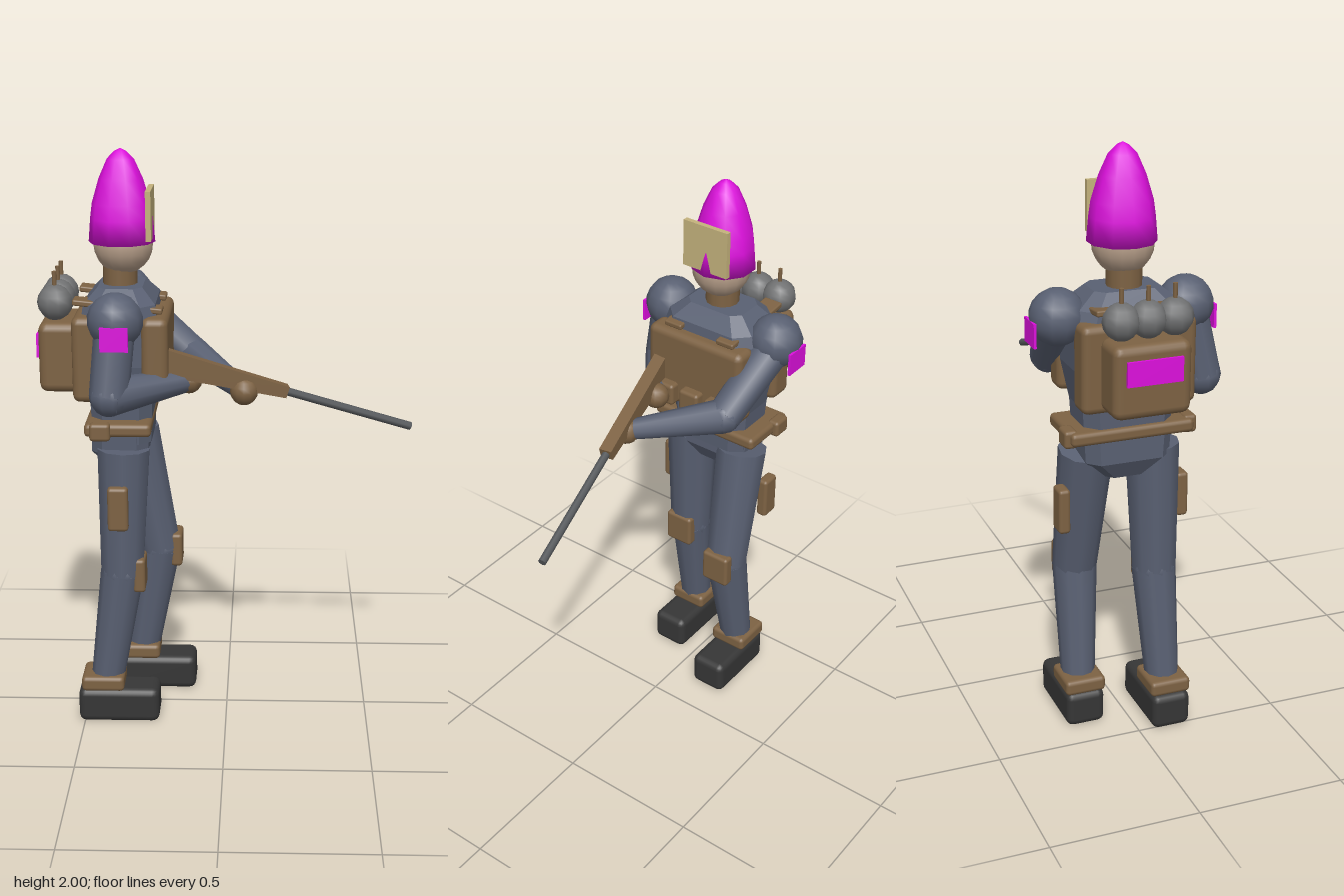
import * as THREE from 'three';
import { RoundedBoxGeometry } from 'three/addons/geometries/RoundedBoxGeometry.js';

const mat = (name, color) => {
  const m = new THREE.MeshStandardMaterial({ color });
  m.name = name;
  return m;
};
const V = (x, y, z) => new THREE.Vector3(x, y, z);

export function createModel() {
  const cloth = mat('blue grey cloth', 0x596072);
  const leather = mat('brown leather', 0x7d6243);
  const magenta = mat('magenta', 0xdd10dd);
  const skin = mat('skin', 0xb59d88);
  const tan = mat('tan visor', 0xc4b27c);
  const boot = mat('boot black', 0x363636);
  const steel = mat('steel', 0x707172);
  const gunmetal = mat('gunmetal', 0x55585b);

  const root = new THREE.Group();
  root.name = 'soldier';
  const MID = -0.02; // z of the body's middle plane

  const add = (name, geo, m, p = V(0, 0, 0)) => {
    const mesh = new THREE.Mesh(geo, m);
    mesh.name = name;
    mesh.position.copy(p);
    root.add(mesh);
    return mesh;
  };
  const box = (name, m, p, w, h, d, r = 0.015) =>
    add(name, r ? new RoundedBoxGeometry(w, h, d, 2, r) : new THREE.BoxGeometry(w, h, d), m, p);
  const ball = (name, m, p, r, sx = 12, sy = 8) => add(name, new THREE.SphereGeometry(r, sx, sy), m, p);
  // Tapered rod from a to b
  const rod = (name, m, a, b, ra, rb, sides = 10) => {
    const d = b.clone().sub(a);
    const mesh = add(name, new THREE.CylinderGeometry(rb, ra, d.length(), sides), m, a.clone().lerp(b, 0.5));
    mesh.quaternion.setFromUnitVectors(V(0, 1, 0), d.normalize());
    return mesh;
  };
  // Two-segment limb with a rounded joint
  const limb = (name, pts, radii) => {
    rod('upper' + name, cloth, pts[0], pts[1], radii[0], radii[1]);
    ball(name + 'Joint', cloth, pts[1], radii[1], 10, 8);
    rod('lower' + name, cloth, pts[1], pts[2], radii[1], radii[2]);
  };
  // Solid lofted from rectangles with cut corners: [y, half depth x, half width z]
  const loft = (name, m, x, rings) => {
    const pos = [], idx = [];
    rings.forEach(([y, a, b]) => {
      const c = Math.min(a, b) * 0.4;
      [[a, c - b], [a, b - c], [a - c, b], [c - a, b], [-a, b - c], [-a, c - b], [c - a, -b], [a - c, -b]]
        .forEach(([px, pz]) => pos.push(px, y, pz));
    });
    for (let r = 0; r < rings.length - 1; r++) for (let i = 0; i < 8; i++) {
      const p = r * 8 + i, q = r * 8 + (i + 1) % 8;
      idx.push(p, p + 8, q, q, p + 8, q + 8);
    }
    const t = (rings.length - 1) * 8;
    for (let i = 1; i < 7; i++) idx.push(0, i, i + 1, t, t + i + 1, t + i);
    const g = new THREE.BufferGeometry();
    g.setAttribute('position', new THREE.Float32BufferAttribute(pos, 3));
    g.setIndex(idx);
    const flat = g.toNonIndexed();
    flat.computeVertexNormals();
    return add(name, flat, m, V(x, 0, MID));
  };

  // Torso and hips
  loft('torso', cloth, -0.355, [[1.02, 0.1, 0.145], [1.17, 0.105, 0.155], [1.3, 0.13, 0.18],
    [1.46, 0.125, 0.185], [1.5, 0.12, 0.17], [1.55, 0.075, 0.11]]);
  loft('pelvis', cloth, -0.362, [[0.92, 0.06, 0.07], [0.985, 0.097, 0.145], [1.07, 0.097, 0.15]]);

  // Vest
  box('chestPlate', leather, V(-0.235, 1.327, MID + 0.005), 0.09, 0.28, 0.385, 0.025);
  box('backPlate', leather, V(-0.46, 1.325, MID + 0.005), 0.1, 0.29, 0.385, 0.025);
  for (const s of [-1, 1]) {
    const strap = box('shoulderStrap', leather, V(-0.36, 1.495, MID + s * 0.107), 0.3, 0.02, 0.07, 0.006);
    strap.rotation.z = -0.1;
  }
  for (const k of [-1, 0, 1])
    box('chestPouch', leather, V(-0.18, 1.235, MID + k * 0.105), 0.05, 0.08, 0.08, 0.012);

  // Belt
  box('belt', leather, V(-0.362, 1.087, MID), 0.225, 0.045, 0.42, 0.015);
  for (const s of [-1, 1]) box('beltPouch', leather, V(-0.42, 1.085, MID + s * 0.205), 0.07, 0.06, 0.045, 0.012);

  // Backpack with canisters
  box('backpack', leather, V(-0.56, 1.315, MID), 0.14, 0.24, 0.26, 0.03);
  box('backpackPanel', magenta, V(-0.635, 1.35, MID), 0.009, 0.08, 0.185, 0);
  for (const k of [-1, 0, 1]) {
    const p = V(-0.572, 1.5, MID + k * 0.088);
    ball('canister', steel, p, 0.06, 10, 8);
    rod('canisterRod', leather, p, V(p.x, 1.605, p.z), 0.008, 0.008, 6);
  }

  // Head, visor and helmet
  rod('neck', leather, V(-0.36, 1.5, -0.015), V(-0.36, 1.63, -0.015), 0.058, 0.058, 12);
  ball('head', skin, V(-0.348, 1.682, -0.015), 0.1, 16, 12);
  const dome = [[0, 1.69], [0.112, 1.69], [0.105, 1.77], [0.098, 1.82], [0.074, 1.9], [0.045, 1.965], [0.02, 1.99], [0, 2]];
  const helmet = add('helmet', new THREE.LatheGeometry(dome.map(([r, y]) => new THREE.Vector2(r, y)), 10), magenta, V(-0.352, 0, MID));
  helmet.rotation.y = Math.PI / 2; // a ridge points forward
  box('visor', tan, V(-0.257, 1.787, -0.016), 0.018, 0.165, 0.175, 0);

  // Arms
  const rightHand = V(-0.125, 1.24, 0.09), leftHand = V(0.06, 1.2, 0.08);
  limb('RightArm', [V(-0.36, 1.46, 0.2), V(-0.38, 1.225, 0.25), rightHand], [0.068, 0.066, 0.038]);
  limb('LeftArm', [V(-0.36, 1.46, -0.24), V(-0.13, 1.265, -0.19), leftHand], [0.068, 0.06, 0.034]);
  ball('rightHand', leather, rightHand, 0.045);
  ball('leftHand', leather, leftHand, 0.048);
  for (const s of [-1, 1]) {
    ball('shoulder', cloth, V(-0.36, 1.468, MID + s * 0.217), 0.093, 12, 9);
    box('shoulderPatch', magenta, V(-0.357, 1.425, MID + s * 0.305), 0.092, 0.08, 0.009, 0);
  }

  // Rifle: tapered stock and barrel along one line
  const muzzle = V(0.635, 1.048, -0.028), stockEnd = V(0.205, 1.193, 0.051), butt = V(-0.21, 1.325, 0.128);
  const dir = stockEnd.clone().sub(butt);
  const stockGeo = new THREE.BoxGeometry(0.045, 0.04, dir.length());
  const sp = stockGeo.attributes.position;
  for (let i = 0; i < sp.count; i++) if (sp.getZ(i) < 0) sp.setY(i, sp.getY(i) > 0 ? 0.035 : -0.055);
  stockGeo.computeVertexNormals();
  const stock = add('rifleStock', stockGeo, leather, butt.clone().lerp(stockEnd, 0.5));
  stock.lookAt(stock.position.clone().add(dir));
  rod('rifleBarrel', gunmetal, stockEnd.clone().lerp(butt, 0.1), muzzle, 0.014, 0.014, 8);

  // Legs: [name, side, hip x, knee x, ankle x, knee pad x, boot x]
  for (const [name, s, hip, knee, ankle, pad, foot] of [
    ['RightLeg', 1, -0.35, -0.362, -0.42, -0.3, -0.378],
    ['LeftLeg', -1, -0.335, -0.248, -0.312, -0.185, -0.26]]) {
    const z = d => MID + s * d;
    limb(name, [V(hip, 1.0, z(0.113)), V(knee, 0.55, z(0.122)), V(ankle, 0.15, z(0.134))], [0.092, 0.076, 0.058]);
    box('kneePad', leather, V(pad, 0.55, z(0.124)), 0.042, 0.122, 0.108, 0.012);
    box('thighPouch', leather, V(-0.365, 0.812, z(0.208)), 0.07, 0.155, 0.04, 0.012);
    box('ankleCuff', leather, V(ankle - 0.013, 0.148, z(0.134)), 0.15, 0.054, 0.142, 0.015);
    box('boot', boot, V(foot, 0.063, z(0.134)), 0.285, 0.125, 0.135, 0.025);
  }
  return root;
}
